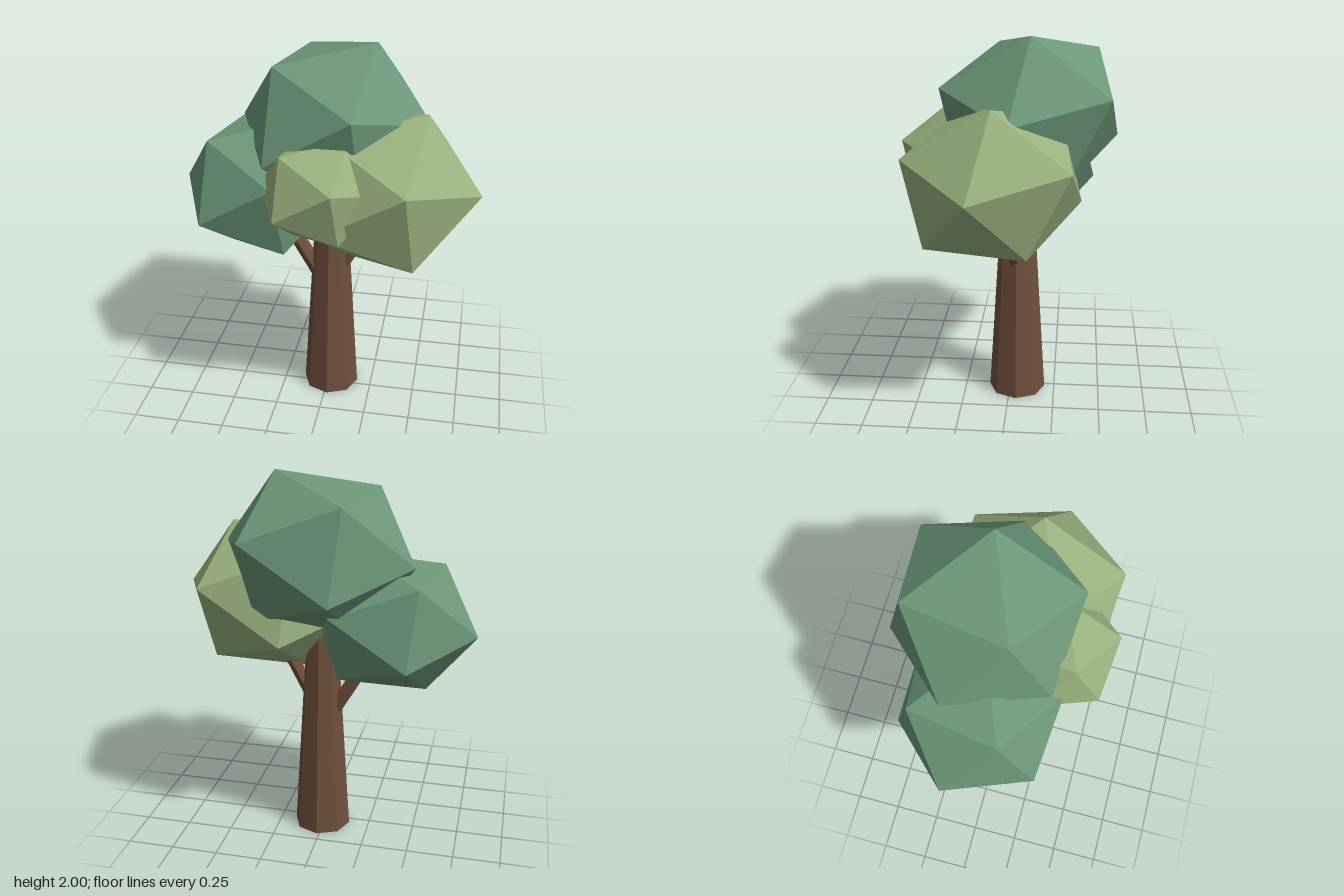
import * as THREE from 'three';

const material = (color) => new THREE.MeshStandardMaterial({ color, flatShading: true });

// Tapered low-poly limb running between two points
function limb(name, from, to, rBottom, rTop, sides, mat) {
  const a = new THREE.Vector3(...from);
  const b = new THREE.Vector3(...to);
  const dir = b.clone().sub(a);
  const mesh = new THREE.Mesh(new THREE.CylinderGeometry(rTop, rBottom, dir.length(), sides), mat);
  mesh.name = name;
  mesh.position.copy(a).add(b).multiplyScalar(0.5);
  mesh.quaternion.setFromUnitVectors(new THREE.Vector3(0, 1, 0), dir.normalize());
  return mesh;
}

// Faceted clump of leaves, slightly squashed and tilted
function foliage(name, position, radius, mat) {
  const mesh = new THREE.Mesh(new THREE.IcosahedronGeometry(radius, 0), mat);
  mesh.name = name;
  mesh.position.set(...position);
  mesh.rotation.set(0.2, 0.4, 0.1);
  mesh.scale.y = 0.86;
  return mesh;
}

export function createModel() {
  const tree = new THREE.Group();
  tree.name = 'tree';
  const bark = material(0x70503c);
  const darkLeaf = material(0x6b9678);
  const lightLeaf = material(0x98b07d);

  // Trunk and two side branches
  tree.add(
    limb('trunk', [0.015, 0, -0.04], [0.015, 1.2, -0.04], 0.155, 0.081, 8, bark),
    limb('rightBranch', [-0.045, 0.7, -0.045], [-0.285, 1.1, -0.05], 0.043, 0.035, 6, bark),
    limb('leftBranch', [0.06, 0.75, -0.03], [0.255, 1.1, -0.015], 0.038, 0.03, 6, bark),
  );

  // Crown
  tree.add(
    foliage('topFoliage', [0.02, 1.593, -0.108], 0.515, darkLeaf),
    foliage('rightFoliage', [-0.355, 1.237, -0.05], 0.453, darkLeaf),
    foliage('leftFoliage', [0.305, 1.307, 0.06], 0.5, lightLeaf),
    foliage('frontFoliage', [0.013, 1.362, 0.26], 0.33, lightLeaf),
  );
  return tree;
}
